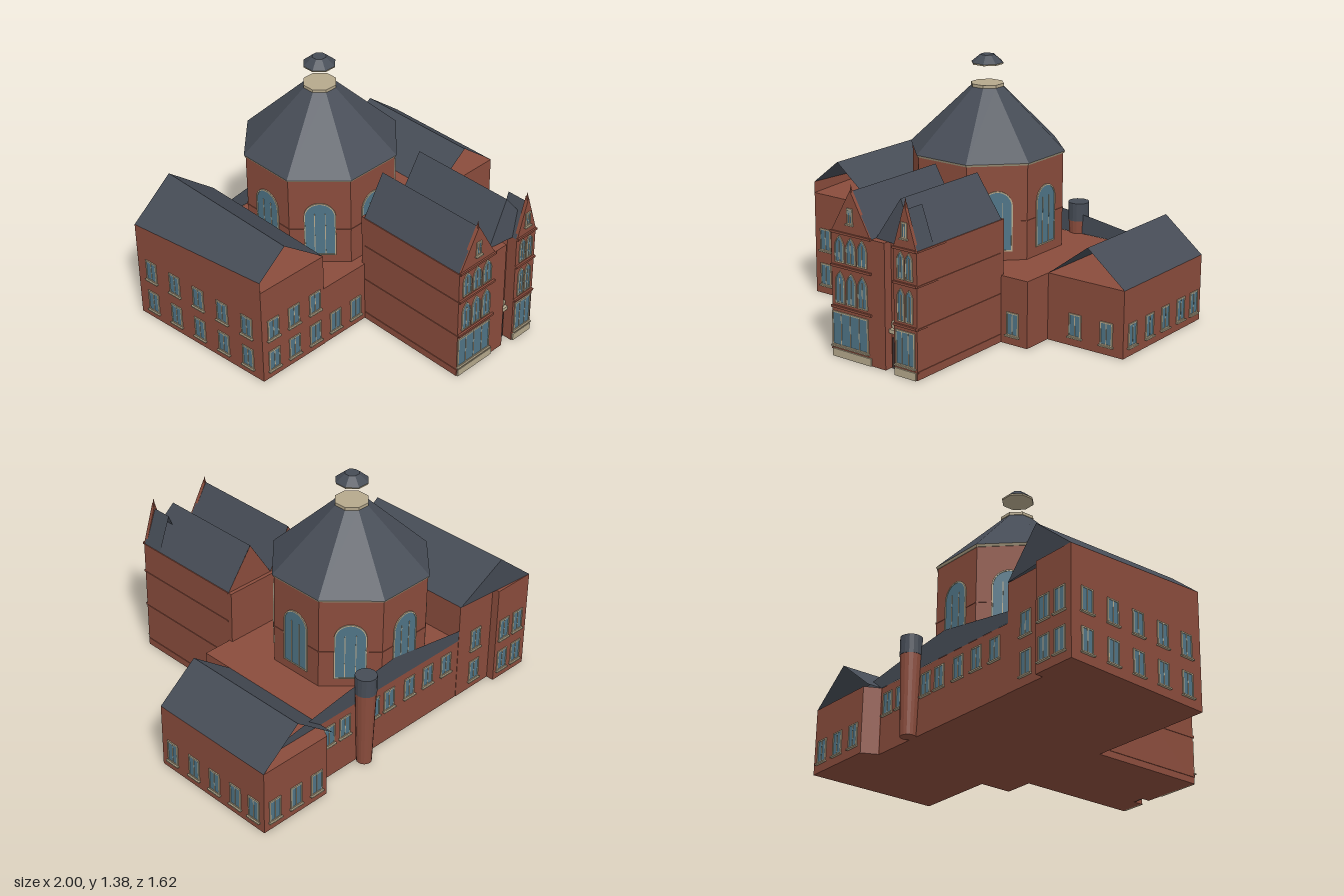
import * as THREE from 'three';

const mat = (color) => new THREE.MeshStandardMaterial({ color, flatShading: true, side: THREE.DoubleSide });
const BRICK = mat(0x8a4c3c), ROOF = mat(0x464c56), GLASS = mat(0x4f7486), TRIM = mat(0xb5a88c), DARK = mat(0x3a3030);

function add(parent, name, geo, material, x = 0, y = 0, z = 0) {
  const m = new THREE.Mesh(geo, material);
  m.name = name;
  m.position.set(x, y, z);
  parent.add(m);
  return m;
}
const box = (p, name, m, w, h, d, x, y, z) => add(p, name, new THREE.BoxGeometry(w, h, d), m, x, y, z);

// Vertical prism over a plan outline of [x, z] points
function prism(p, name, pts, h, m = BRICK) {
  const shape = new THREE.Shape(pts.map(([x, z]) => new THREE.Vector2(x, -z)));
  const g = new THREE.ExtrudeGeometry(shape, { depth: h, bevelEnabled: false });
  return add(p, name, g.rotateX(-Math.PI / 2), m);
}

// Flat polygon (3 or 4 corners) as a fan
function sheet(p, name, m, ...c) {
  const pos = [];
  for (let i = 1; i < c.length - 1; i++) pos.push(...c[0], ...c[i], ...c[i + 1]);
  const g = new THREE.BufferGeometry();
  g.setAttribute('position', new THREE.Float32BufferAttribute(pos, 3));
  g.computeVertexNormals();
  return add(p, name, g, m);
}

// Two roof slopes running along z, open at the ends
function gableRoof(p, name, x0, xr, x1, eave, ridge, z0, z1) {
  for (const x of [x0, x1])
    sheet(p, name, ROOF, [x, eave, z0], [x, eave, z1], [xr, ridge, z1], [xr, ridge, z0]);
}

// Outline of a window: flat, round or pointed head; origin at bottom centre
function outline(w, h, head) {
  const s = new THREE.Shape(), r = w / 2;
  s.moveTo(-r, 0);
  s.lineTo(r, 0);
  if (head === 'round') { s.lineTo(r, h - r); s.absarc(0, h - r, r, 0, Math.PI); }
  else if (head === 'point') { s.lineTo(r, h - w); s.quadraticCurveTo(r, h - r, 0, h); s.quadraticCurveTo(-r, h - r, -r, h - w); }
  else { s.lineTo(r, h); s.lineTo(-r, h); }
  s.closePath();
  return s;
}

// Framed window with mullions and sill, placed on a wall that faces angle ry
function windowUnit(p, x, y, z, ry, w, h, head = 'flat', mullions = 1) {
  const g = new THREE.Group(), t = 0.007;
  g.name = 'window';
  g.position.set(x, y, z);
  g.rotation.y = ry;
  p.add(g);
  const frame = outline(w, h, head);
  const inner = outline(w - 2 * t, h - 2 * t, head).getPoints(8).map((v) => new THREE.Vector2(v.x, v.y + t));
  frame.holes.push(new THREE.Path(inner));
  add(g, 'frame', new THREE.ExtrudeGeometry(frame, { depth: 0.006, bevelEnabled: false, curveSegments: 8 }), TRIM);
  add(g, 'glass', new THREE.ShapeGeometry(new THREE.Shape(inner)), GLASS, 0, 0, 0.003);
  const hh = head === 'flat' ? h : h * 0.8;
  for (let i = 1; i <= mullions; i++)
    box(g, 'mullion', TRIM, 0.004, hh, 0.003, -w / 2 + (w * i) / (mullions + 1), hh / 2, 0.004);
  if (head === 'flat') box(g, 'sill', TRIM, w + 0.012, 0.007, 0.014, 0, -0.003, 0.007);
}

export function createModel() {
  const model = new THREE.Group();
  const part = (name) => { const g = new THREE.Group(); g.name = name; model.add(g); return g; };
  const W = 0.075, H = 0.125, L = -Math.PI / 2;

  // Main block with flat roof
  const block = part('mainBlock');
  prism(block, 'mainWalls', [[-0.75, 0.12], [0.52, 0.12], [0.52, -0.715], [-0.75, -0.715]], 0.36);
  for (const x of [-0.415, -0.27, 0.43]) windowUnit(block, x, 0.05, 0.121, 0, W, H);
  for (const x of [-0.4, -0.26, -0.12, 0.03, 0.14, 0.35, 0.46]) windowUnit(block, x, 0.2, -0.716, Math.PI, W, 0.12);
  // Low roof strip along the back
  const strip = new THREE.Shape([[-0.6, 0.36], [0.98, 0.36], [0.58, 0.425], [0.35, 0.46], [0.0, 0.5], [-0.5, 0.42], [-0.6, 0.4]]
    .map(([x, y]) => new THREE.Vector2(x, y)));
  add(block, 'backRoofStrip', new THREE.ShapeGeometry(strip), ROOF, 0, 0, -0.716);
  add(block, 'stairTurret', new THREE.CylinderGeometry(0.055, 0.04, 0.43, 16), BRICK, 0.235, 0.215, -0.745);
  add(block, 'turretCap', new THREE.CylinderGeometry(0.057, 0.057, 0.1, 16), ROOF, 0.235, 0.48, -0.745);

  // Right wing, two storeys with a slanting outer wall
  const west = part('rightWing');
  prism(west, 'walls', [[-0.92, 0.122], [-0.495, 0.122], [-0.495, -0.717], [-0.75, -0.717], [-0.75, -0.76], [-0.995, -0.76]], 0.57);
  sheet(west, 'outerSlope', ROOF, [-0.995, 0.57, -0.76], [-0.92, 0.632, 0.122], [-0.75, 0.77, 0.122], [-0.75, 0.77, -0.76]);
  sheet(west, 'innerSlope', ROOF, [-0.495, 0.57, -0.72], [-0.495, 0.57, 0.122], [-0.75, 0.77, 0.122], [-0.75, 0.77, -0.76]);
  sheet(west, 'backGable', ROOF, [-0.995, 0.57, -0.76], [-0.75, 0.77, -0.76], [-0.495, 0.57, -0.72]);
  sheet(west, 'wallTop', BRICK, [-0.995, 0.57, -0.76], [-0.92, 0.57, 0.122], [-0.92, 0.632, 0.122]);
  const slant = Math.atan2(0.075, 0.882);
  for (const y of [0.05, 0.25]) {
    for (const x of [-0.845, -0.705, -0.56]) windowUnit(west, x, y, 0.123, 0, W, H);
    for (const x of [-0.92, -0.81]) windowUnit(west, x, y, -0.761, Math.PI, W, H);
    windowUnit(west, -0.63, y, -0.718, Math.PI, W, H);
    for (const z of [-0.66, -0.49, -0.32, -0.15, 0.02])
      windowUnit(west, -0.996 + (z + 0.76) * 0.085, y, z, L + slant, W, H);
  }

  // Left wing, one storey with an open-ended pitched roof
  const east = part('leftWing');
  prism(east, 'walls', [[0.52, -0.06], [0.98, -0.06], [0.98, -0.8], [0.56, -0.8], [0.52, -0.72]], 0.36);
  gableRoof(east, 'roofSlope', 0.52, 0.755, 0.98, 0.36, 0.54, -0.8, -0.06);
  for (const x of [0.69, 0.88]) windowUnit(east, x, 0.05, -0.059, 0, W, H);
  for (const x of [0.63, 0.77, 0.91]) windowUnit(east, x, 0.05, -0.801, Math.PI, W, H);
  for (const z of [-0.14, -0.3, -0.45, -0.6, -0.73]) windowUnit(east, 0.981, 0.05, z, Math.PI / 2, W, H);

  // Octagonal hall with steep roof and floating lantern cap
  const hall = part('octagonHall');
  hall.position.set(-0.077, 0, -0.325);
  const octagon = (name, m, top, bottom, y0, y1) => {
    const c = Math.cos(Math.PI / 8);
    const g = new THREE.CylinderGeometry(top / c, bottom / c, y1 - y0, 8).rotateY(Math.PI / 8);
    return add(hall, name, g, m, 0, (y0 + y1) / 2, 0);
  };
  octagon('walls', BRICK, 0.383, 0.383, 0.3, 0.875);
  octagon('stringCourse', BRICK, 0.386, 0.386, 0.565, 0.572);
  octagon('cornice', TRIM, 0.392, 0.386, 0.868, 0.88);
  octagon('roof', ROOF, 0.078, 0.392, 0.88, 1.21);
  octagon('lanternBase', TRIM, 0.083, 0.083, 1.208, 1.224);
  octagon('capSoffit', TRIM, 0.08, 0.078, 1.326, 1.334);
  octagon('lanternCap', ROOF, 0.035, 0.08, 1.334, 1.375);
  for (let i = 0; i < 8; i++) {
    const a = (i * Math.PI) / 4;
    windowUnit(hall, 0.384 * Math.sin(a), 0.41, 0.384 * Math.cos(a), a, 0.165, 0.325, 'round', 2);
  }

  // Front building with twin gables
  const front = part('frontBuilding');
  prism(front, 'walls', [[-0.2, 0.1], [0.355, 0.1], [0.355, 0.79], [0.21, 0.79], [0.21, 0.73], [0.145, 0.73], [0.145, 0.78], [-0.2, 0.78]], 0.655);
  gableRoof(front, 'rightRoofSlope', -0.2, -0.07, 0.06, 0.655, 0.875, 0.12, 0.775);
  sheet(front, 'leftRoofInner', ROOF, [0.06, 0.655, 0.12], [0.06, 0.655, 0.74], [0.2, 0.875, 0.72], [0.2, 0.875, 0.12]);
  sheet(front, 'leftRoofOuter', ROOF, [0.355, 0.655, 0.12], [0.355, 0.655, 0.78], [0.2, 0.875, 0.72], [0.2, 0.875, 0.12]);
  sheet(front, 'leftRoofHip', ROOF, [0.06, 0.655, 0.74], [0.355, 0.655, 0.78], [0.2, 0.875, 0.72]);
  gableRoof(front, 'bayRoofSlope', 0.21, 0.283, 0.355, 0.655, 0.85, 0.66, 0.785);
  for (const [a, r, b] of [[-0.2, -0.07, 0.06], [0.06, 0.2, 0.355]])
    sheet(front, 'rearGable', BRICK, [a, 0.655, 0.12], [b, 0.655, 0.12], [r, 0.874, 0.12]);

  // Front bays: gable wall, finial, shop glazing and pointed windows
  for (const [x0, x1, z, n] of [[-0.2, 0.06, 0.78, 3], [0.21, 0.355, 0.79, 2]]) {
    const c = (x0 + x1) / 2, w = x1 - x0;
    const gable = new THREE.Shape([new THREE.Vector2(x0, 0.65), new THREE.Vector2(x1, 0.65), new THREE.Vector2(c, 0.88)]);
    add(front, 'gableWall', new THREE.ExtrudeGeometry(gable, { depth: 0.02, bevelEnabled: false }), BRICK, 0, 0, z - 0.018);
    add(front, 'finial', new THREE.ConeGeometry(0.009, 0.05, 6), BRICK, c, 0.885, z - 0.008);
    box(front, 'plinth', TRIM, w - 0.01, 0.04, 0.012, c, 0.02, z + 0.002);
    windowUnit(front, c - 0.01 * (n - 2), 0.06, z + 0.001, 0, w - 0.025, 0.18, 'flat', n);
    windowUnit(front, c, 0.71, z + 0.003, 0, 0.036, 0.08);
    const step = (w - 0.04) / n;
    for (let i = 0; i < n; i++) {
      const x = c + (i - (n - 1) / 2) * step;
      windowUnit(front, x, 0.285, z + 0.001, 0, step * 0.85, 0.17, 'point');
      windowUnit(front, x, 0.5, z + 0.001, 0, step * 0.85, 0.14, 'point');
    }
    for (const y of [0.265, 0.48, 0.655]) box(front, 'bayBand', BRICK, w, 0.012, 0.014, c, y, z + 0.004);
  }
  // String courses on both long walls
  for (const x of [-0.2, 0.355])
    for (const y of [0.04, 0.26, 0.477, 0.652]) box(front, 'sideBand', BRICK, 0.008, 0.009, 0.66, x, y, 0.455);

  // Entrance
  box(front, 'door', DARK, 0.05, 0.16, 0.012, 0.178, 0.08, 0.731);
  box(front, 'doorCanopy', TRIM, 0.06, 0.02, 0.03, 0.178, 0.2, 0.742);
  add(front, 'canopyArch', new THREE.CylinderGeometry(0.025, 0.025, 0.02, 12).rotateX(Math.PI / 2), TRIM, 0.178, 0.235, 0.735);
  return model;
}
